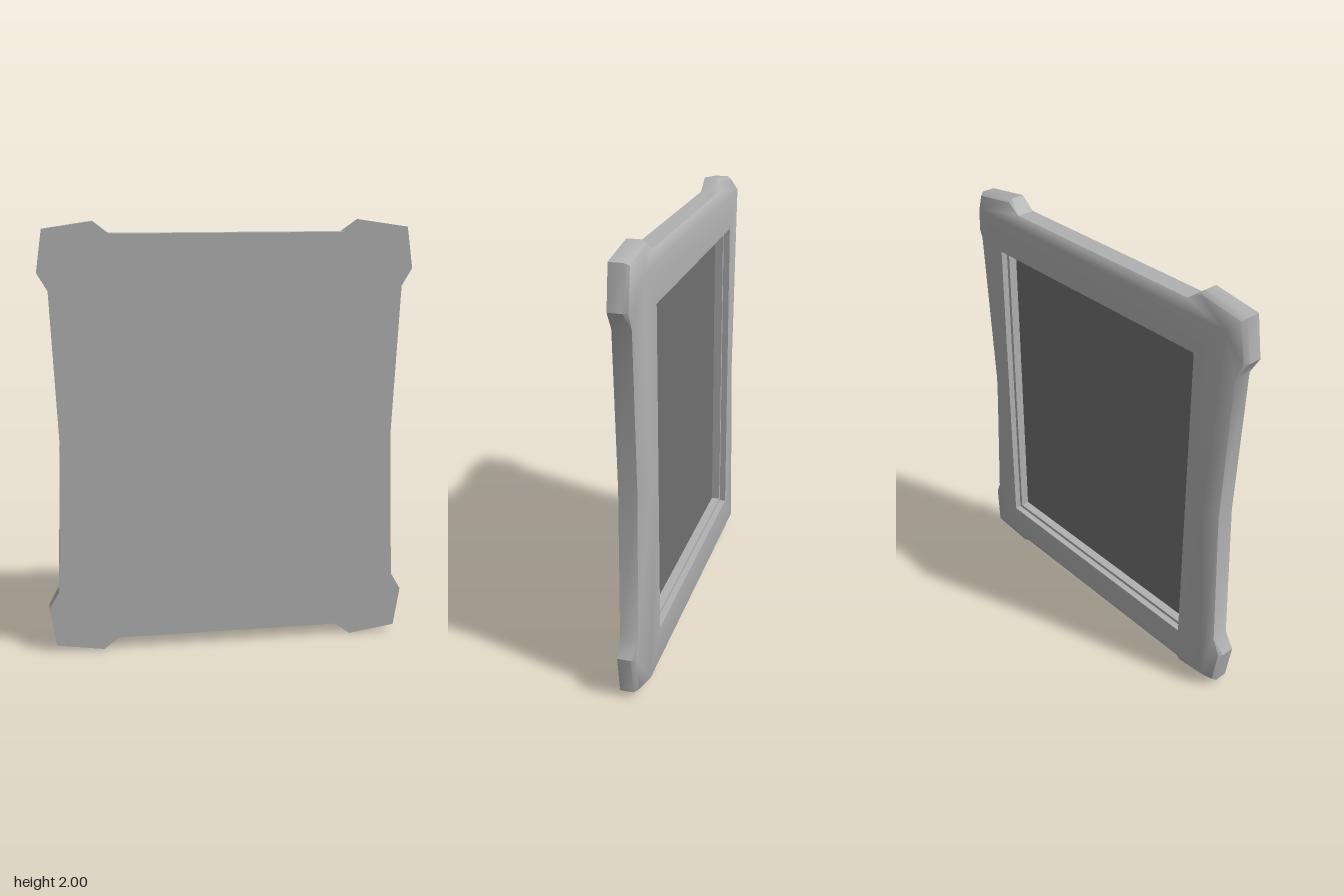
import * as THREE from 'three';
import { mergeVertices, toCreasedNormals } from 'three/addons/utils/BufferGeometryUtils.js';

const FRONT = 0.062, BACK = -0.062, EDGE = -0.02;

// Mirror one quadrant of [x, y, z] points (side middle to top edge) into a full closed ring.
function ring(quadrant) {
  const mirrored = quadrant.slice(1).reverse().map(([x, y, z]) => [-x, y, z]);
  const half = [...quadrant, ...mirrored];
  return [...half, ...half.map(([x, y, z]) => [-x, -y, z])]
    .map(([x, y, z]) => new THREE.Vector3(x, y + 1, z));
}

// Skin between successive rings that run from front to back, dropping collapsed triangles.
function loft(rings, smooth) {
  const positions = [];
  const tri = (a, b, c) => {
    if (new THREE.Triangle(a, b, c).getArea() < 1e-7) return;
    for (const p of [a, b, c]) positions.push(p.x, p.y, p.z);
  };
  for (let r = 0; r + 1 < rings.length; r++) {
    const A = rings[r], B = rings[r + 1];
    for (let i = 0; i < A.length; i++) {
      const j = (i + 1) % A.length;
      tri(A[i], B[i], B[j]);
      tri(A[i], B[j], A[j]);
    }
  }
  const geometry = new THREE.BufferGeometry();
  geometry.setAttribute('position', new THREE.Float32BufferAttribute(positions, 3));
  if (!smooth) return toCreasedNormals(geometry, 0.62);
  const merged = mergeVertices(geometry, 1e-4);
  merged.computeVertexNormals();
  return merged;
}

export function createModel() {
  const group = new THREE.Group();
  const frameMaterial = new THREE.MeshStandardMaterial({ color: 0xb0b0b0 });
  const panelMaterial = new THREE.MeshStandardMaterial({ color: 0x707070 });
  const add = (name, geometry, material = frameMaterial) => {
    const mesh = new THREE.Mesh(geometry, material);
    mesh.name = name;
    group.add(mesh);
    return mesh;
  };

  // Quadrant of the outline: waisted side, flared corner, straight top
  const outline = [[0.775, 0], [0.803, 0.7], [0.85, 0.78], [0.822, 0.967], [0.6, 1], [0.53, 0.946]];
  const isFlare = (i) => i >= 2 && i <= 4;
  const at = (points, z) => ring(points.map(([x, y]) => [x, y, z]));

  // The flared corners lean in slightly at the back of the wall
  const frontRing = at(outline, FRONT);
  const wallRing = ring(outline.map(([x, y], i) => [x, y, isFlare(i) ? 0 : EDGE]));
  const shoulderRing = ring(outline.map(([x, y], i) => [
    x - (i === 2 || i === 3 ? 0.012 : 0), y - (i === 3 || i === 4 ? 0.012 : 0), EDGE,
  ]));

  // Rings with a single corner: every station but the side middle lands on it
  const cornered = (x, y, midX, z) => at(outline.map((_, i) => (i ? [x, y] : [midX, 0])), z);
  const crestRing = cornered(0.77, 0.915, 0.715, BACK);
  const opening = (inset, z) => cornered(0.617 - inset, 0.753 - inset, 0.617 - inset, z);

  add('outerWall', loft([frontRing, wallRing, shoulderRing], false));
  add('frameBevel', loft([shoulderRing, crestRing, opening(0, BACK)], true));

  // Deep stepped rebate around the recessed panel
  const step = 0.016, ledge = -0.032, floor = 0.008;
  add('openingRebate', loft([
    opening(0, BACK), opening(0, ledge), opening(step, ledge), opening(step, floor),
  ], false));

  // Dark recessed panel facing backwards
  const panelGeometry = new THREE.PlaneGeometry(2 * (0.617 - step), 2 * (0.753 - step));
  const panel = add('recessedPanel', panelGeometry, panelMaterial);
  panel.rotation.y = Math.PI;
  panel.position.set(0, 1, floor);

  // Flat front face
  const face = new THREE.Shape(frontRing.map((p) => new THREE.Vector2(p.x, p.y)));
  add('frontFace', new THREE.ShapeGeometry(face)).position.z = FRONT;

  return group;
}
